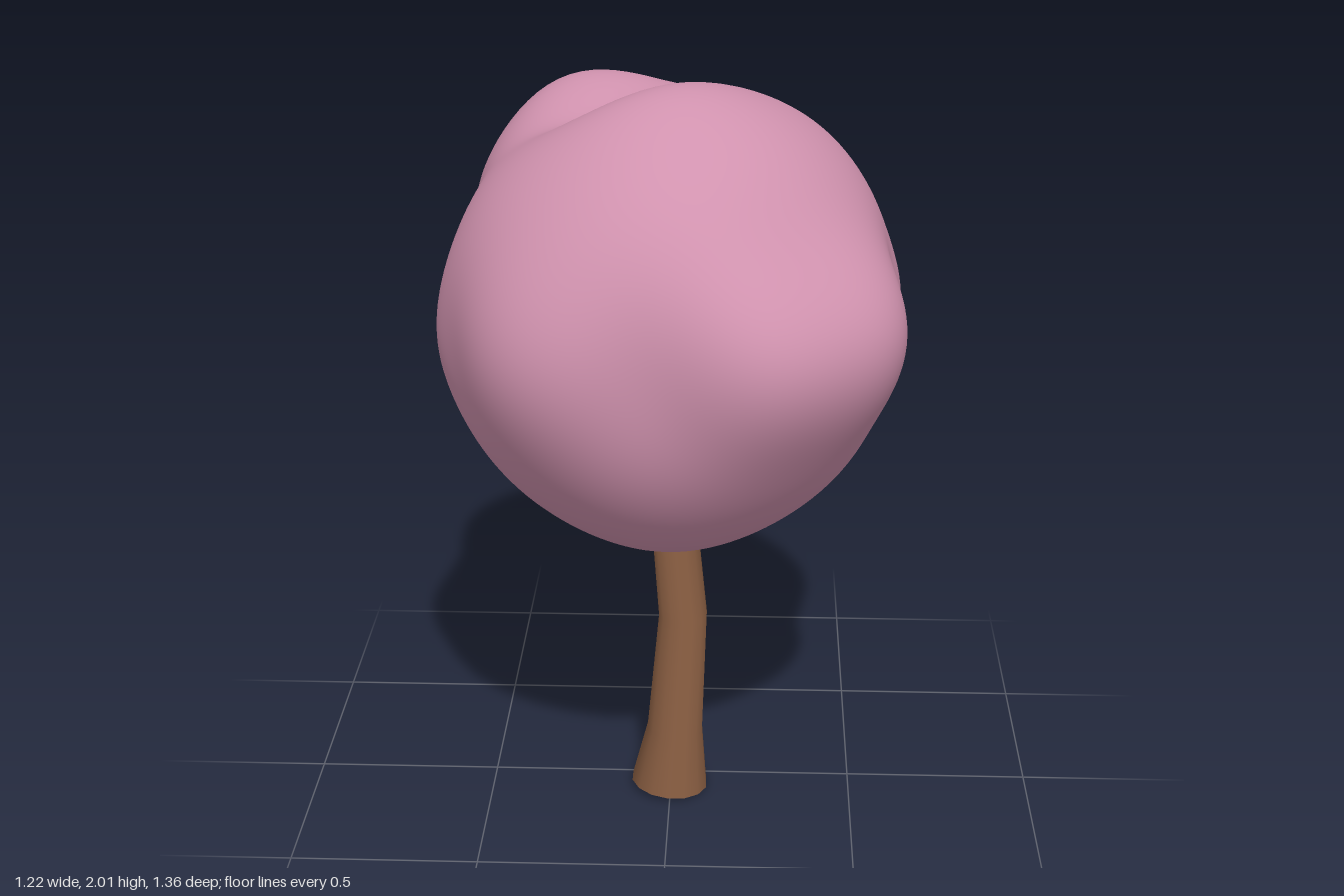
import * as THREE from 'three';
import { mergeVertices } from 'three/addons/utils/BufferGeometryUtils.js';

// The foliage is a sphere with broad swells and hollows
const CENTRE = new THREE.Vector3(0, 1.39, 0.04);
const RADIUS = 0.605;
const SHARPNESS = 14;

// Peaks and hollows the foliage surface runs through: x, y, z
const LANDMARKS = [
  [-0.03, 1.998, 0.05], [0.1, 1.94, -0.2],                        // crown
  [0, 0.777, 0.08], [0, 0.835, 0.32], [0, 0.94, -0.31],           // underside
  [0.61, 1.33, -0.2], [0.565, 1.36, 0.03],                        // +x side
  [0.59, 1.48, 0.35], [0.53, 1.45, 0.49], [0.24, 1.45, 0.68],     // front +x swell
  [0.3, 1.68, 0.5], [0.5, 1.66, 0.28], [0, 1.86, 0.42], [0.05, 1.71, 0.56],
  [0, 1.4, 0.64], [-0.24, 1.4, 0.62], [-0.44, 1.42, 0.5],         // front -x swell
  [0.1, 1.18, 0.61], [-0.3, 1.82, 0.33],
  [-0.55, 1.38, 0.28], [-0.61, 1.37, 0.05], [-0.54, 1.48, -0.17], // -x side
  [-0.54, 1.6, -0.4], [-0.47, 1.62, -0.56], [-0.26, 1.57, -0.68], // back -x lobe
  [-0.39, 1.76, -0.53], [-0.29, 1.925, -0.4], [-0.2, 1.9, -0.2],
  [0, 1.5, -0.63], [0.15, 1.5, -0.645], [0.32, 1.5, -0.59],       // back +x lobe
  [0.49, 1.42, -0.42], [0.1, 1.85, -0.42], [0.38, 1.82, -0.23], [0.42, 1.67, -0.37],
  [-0.12, 1.28, -0.5], [0, 1.15, -0.47], [-0.3, 1.15, -0.38],     // back, underneath
  [0.26, 1.17, -0.45],
].map(([x, y, z]) => {
  const dir = new THREE.Vector3(x, y, z).sub(CENTRE);
  const radius = dir.length();
  return { dir: dir.normalize(), radius, weight: 0 };
});

function foliageRadius(dir) {
  let r = RADIUS;
  for (const m of LANDMARKS) r += m.weight * Math.exp(SHARPNESS * (dir.dot(m.dir) - 1));
  return r;
}

function foliageGeometry() {
  // Tune the swells until the surface meets the landmarks
  for (const m of LANDMARKS) m.weight = 0;
  for (let pass = 0; pass < 25; pass++) {
    for (const m of LANDMARKS) m.weight += 0.7 * (m.radius - foliageRadius(m.dir));
  }
  let geo = new THREE.IcosahedronGeometry(1, 28);
  geo.deleteAttribute('uv');
  geo.deleteAttribute('normal');
  geo = mergeVertices(geo, 1e-4);
  const pos = geo.attributes.position;
  const v = new THREE.Vector3();
  for (let i = 0; i < pos.count; i++) {
    v.fromBufferAttribute(pos, i).normalize();
    v.multiplyScalar(foliageRadius(v)).add(CENTRE);
    pos.setXYZ(i, v.x, v.y, v.z);
  }
  geo.computeVertexNormals();
  return geo;
}

// Trunk rings: x, y, z, radius, tilt
const RINGS = [
  [-0.004, 0.011, 0.067, 0.106, -0.1],
  [0.011, 0.18, 0.063, 0.078, -0.05],
  [0.033, 0.53, 0.055, 0.067, 0],
  [0.01, 0.8, 0.057, 0.063, 0],
  [0, 1.0, 0.057, 0.055, 0],
];

function trunkGeometry() {
  const geo = new THREE.CylinderGeometry(1, 1, 1, 14, RINGS.length - 1);
  const pos = geo.attributes.position;
  for (let i = 0; i < pos.count; i++) {
    const [x, y, z, r, tilt] = RINGS[Math.round((pos.getY(i) + 0.5) * (RINGS.length - 1))];
    const dx = pos.getX(i) * r;
    pos.setXYZ(i, x + dx, y + dx * tilt, z + pos.getZ(i) * r);
  }
  return geo;
}

export function createModel() {
  const blossom = new THREE.MeshStandardMaterial({ color: 0xd092ae });
  blossom.name = 'blossom pink';
  const bark = new THREE.MeshStandardMaterial({ color: 0x8f6245 });
  bark.name = 'bark brown';

  const tree = new THREE.Group();
  tree.name = 'tree';
  const foliage = new THREE.Mesh(foliageGeometry(), blossom);
  foliage.name = 'foliage';
  const trunk = new THREE.Mesh(trunkGeometry(), bark);
  trunk.name = 'trunk';
  tree.add(foliage, trunk);
  return tree;
}
